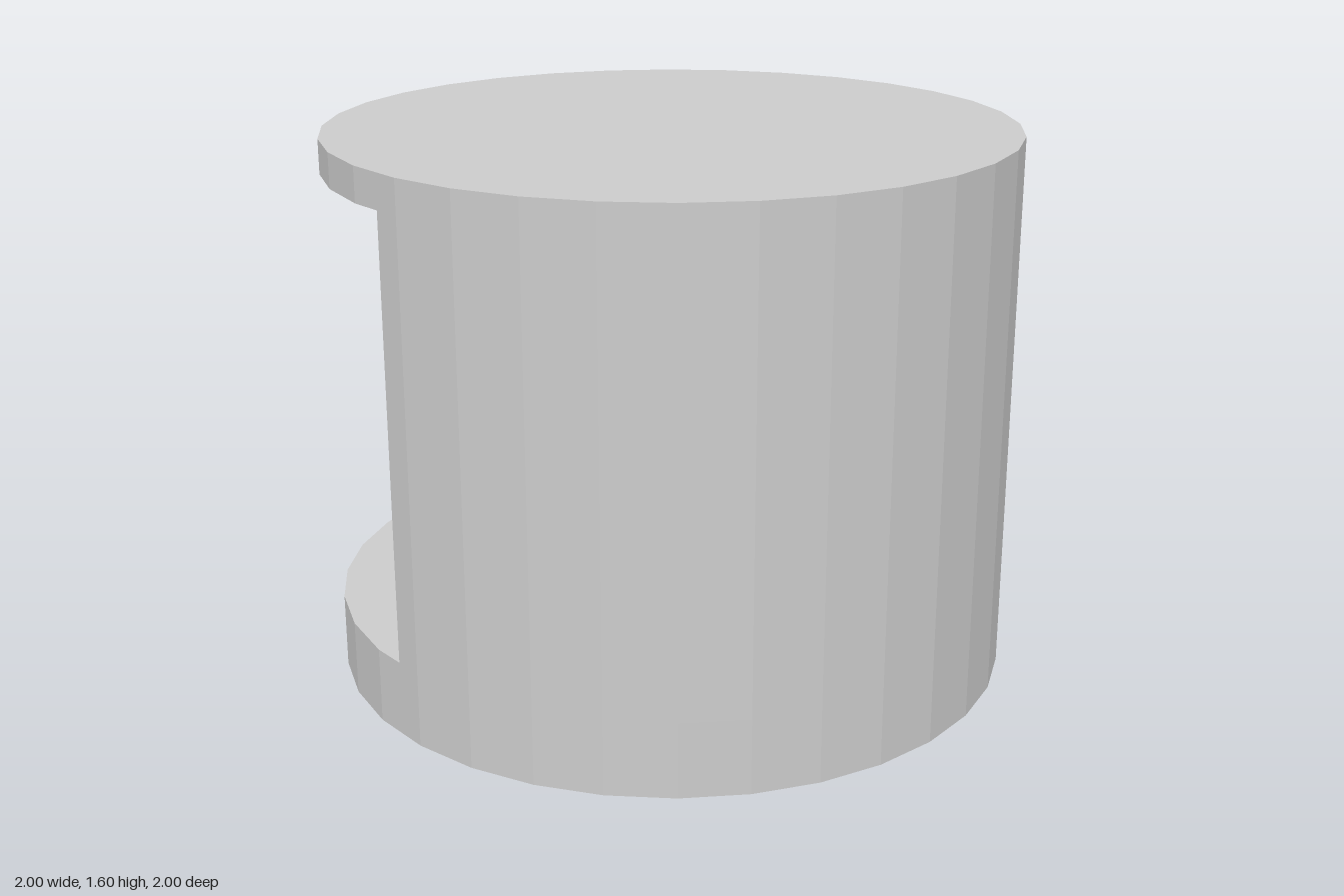
import * as THREE from 'three';

const SIDES = 32;
const R = 1, R_IN = 0.93, CUT = -0.625;
const FLOOR = 0.22, CEILING = 1.5, TOP = 1.6;
const HOLE_R = 0.137, HOLE_POS = 0.425;

// Corners of a regular polygon cut off at x = CUT, from one cut end to the other
function cutRing(r) {
  const ring = [];
  for (let i = -SIDES / 2; i <= SIDES / 2; i++) {
    const a = (i / SIDES) * Math.PI * 2;
    ring.push(new THREE.Vector2(r * Math.cos(a), r * Math.sin(a)));
  }
  const first = ring.findIndex((p) => p.x > CUT);
  const p = ring[first - 1], q = ring[first];
  const end = p.clone().lerp(q, (CUT - p.x) / (q.x - p.x));
  const kept = ring.filter((v) => v.x > CUT);
  return [end, ...kept, new THREE.Vector2(end.x, -end.y)];
}

function disc(r) {
  const pts = [];
  for (let i = 0; i < SIDES; i++) {
    const a = (i / SIDES) * Math.PI * 2;
    pts.push(new THREE.Vector2(r * Math.cos(a), r * Math.sin(a)));
  }
  return pts;
}

export function createModel() {
  const model = new THREE.Group();
  const flat = new THREE.MeshStandardMaterial({ color: 0xcccccc, flatShading: true });
  const smooth = new THREE.MeshStandardMaterial({ color: 0xcccccc, side: THREE.DoubleSide });

  const add = (parent, name, geometry, material, x = 0, y = 0, z = 0) => {
    const mesh = new THREE.Mesh(geometry, material);
    mesh.name = name;
    mesh.position.set(x, y, z);
    parent.add(mesh);
  };

  // Base: rim, underside and a floor pierced by four round holes
  const base = new THREE.Group();
  base.name = 'base';
  model.add(base);
  add(base, 'baseRim', new THREE.CylinderGeometry(R, R, FLOOR, SIDES, 1, true), flat, 0, FLOOR / 2);
  add(base, 'underside', new THREE.CircleGeometry(R, SIDES).rotateX(Math.PI / 2), flat);

  const floorShape = new THREE.Shape(disc(R));
  const corners = [[1, 1], [1, -1], [-1, 1], [-1, -1]];
  for (const [sx, sz] of corners) {
    const hole = disc(HOLE_R).map((p) => p.add(new THREE.Vector2(sx * HOLE_POS, sz * HOLE_POS)));
    floorShape.holes.push(new THREE.Path(hole));
  }
  add(base, 'floor', new THREE.ShapeGeometry(floorShape).rotateX(-Math.PI / 2), flat, 0, FLOOR);

  // Shallow dishes set into the floor holes
  const dishProfile = [[0, -0.04], [0.08, -0.038], [0.11, -0.028], [0.128, -0.014], [HOLE_R, 0]]
    .map(([x, y]) => new THREE.Vector2(x, y));
  for (const [sx, sz] of corners) {
    add(base, 'floorDish', new THREE.LatheGeometry(dishProfile, SIDES), smooth,
      sx * HOLE_POS, FLOOR, sz * HOLE_POS);
  }

  // Cone in the middle of the floor
  add(model, 'centreCone', new THREE.ConeGeometry(0.178, 0.28, SIDES, 1, true), smooth, 0, FLOOR + 0.14);

  // Curved wall, open on one side
  const wallShape = new THREE.Shape([...cutRing(R), ...cutRing(R_IN).reverse()]);
  const wall = new THREE.ExtrudeGeometry(wallShape, { depth: CEILING - FLOOR, bevelEnabled: false });
  add(model, 'wall', wall.rotateX(-Math.PI / 2), flat, 0, FLOOR);

  // Lid
  add(model, 'lid', new THREE.CylinderGeometry(R, R, TOP - CEILING, SIDES), flat, 0, (TOP + CEILING) / 2);

  return model;
}
